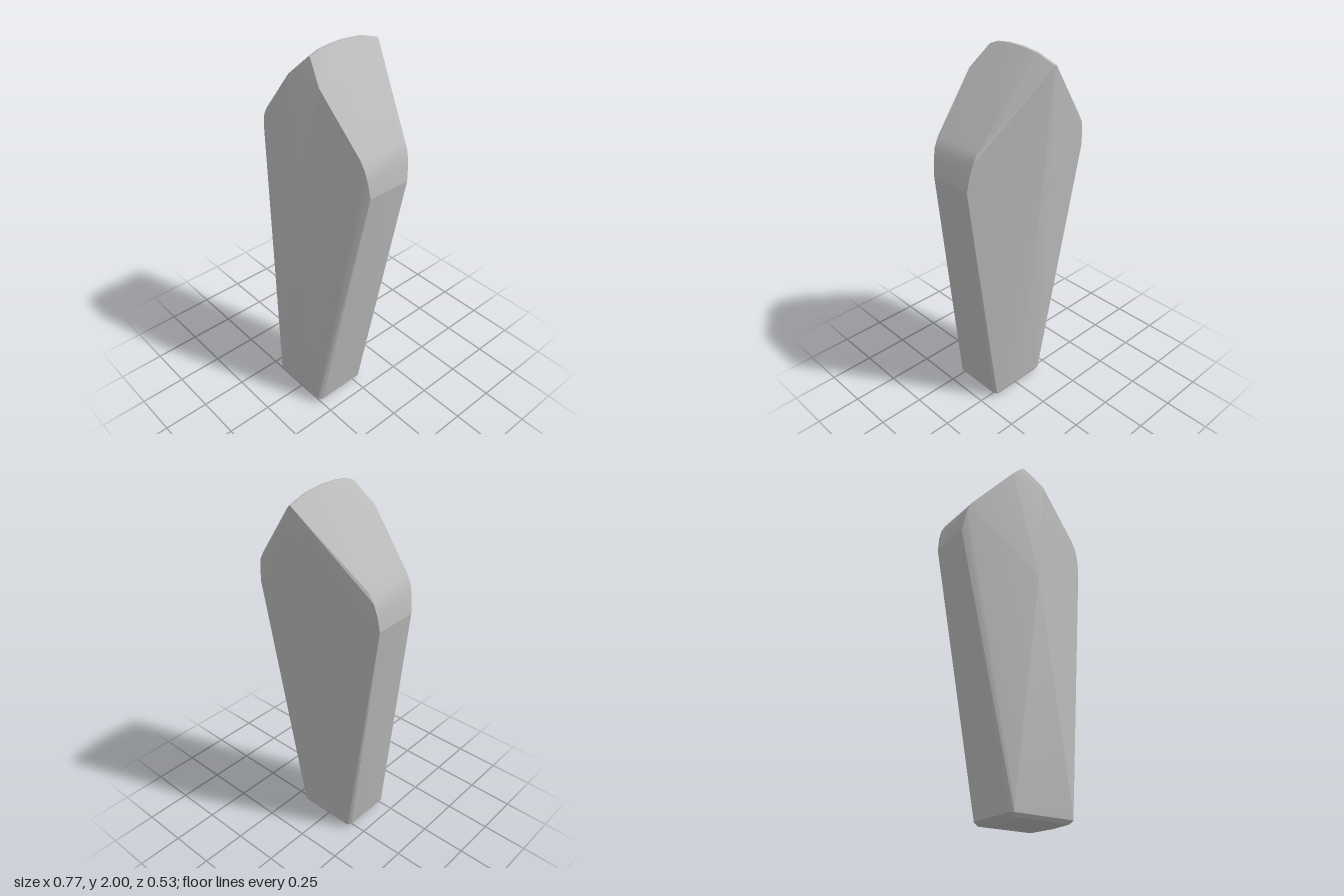
import * as THREE from 'three';
import { ConvexGeometry } from 'three/addons/geometries/ConvexGeometry.js';
import { toCreasedNormals } from 'three/addons/utils/BufferGeometryUtils.js';

export function createModel() {
  const group = new THREE.Group();
  const stone = new THREE.MeshStandardMaterial({ color: 0xbababa });

  const points = [];
  const pair = (x, y, z) => {
    points.push(new THREE.Vector3(x, y, z));
    if (x > 0) points.push(new THREE.Vector3(-x, y, z));
  };

  // Narrow rounded ridge, front to back
  for (const [y, z] of [[1.97, 0.145], [1.988, 0.1], [1.998, 0.03], [2, -0.06], [1.99, -0.16], [1.957, -0.265]]) {
    pair(0.006, y, z);
  }

  // Rounded shoulders, from the sloping roof to the widest point
  for (const [x, y, front, back] of [
    [0.335, 1.605, 0.148, -0.125],
    [0.36, 1.56, 0.144, -0.123],
    [0.376, 1.5, 0.137, -0.115],
    [0.386, 1.42, 0.128, -0.105],
  ]) {
    pair(x, y, front);
    pair(x, y, back);
  }

  // Front facets: small bevel below the tip and the central peak
  pair(0.105, 1.87, 0.18);
  pair(0, 1.22, 0.258);

  // Side and back facets
  pair(0.313, 0.85, 0.01);
  pair(0, 0.62, -0.13);

  // Foot with softened edges
  pair(0.162, 0.06, 0.265);
  pair(0.165, 0.03, 0.263);
  pair(0.178, 0.03, 0.245);
  pair(0.178, 0.03, -0.025);
  pair(0.165, 0.03, -0.042);
  pair(0.15, 0.012, 0.25);
  pair(0.15, 0.012, -0.032);
  pair(0.12, 0, 0.17);

  const body = new THREE.Mesh(toCreasedNormals(new ConvexGeometry(points), 0.25), stone);
  body.name = 'facetedStone';
  group.add(body);
  return group;
}
